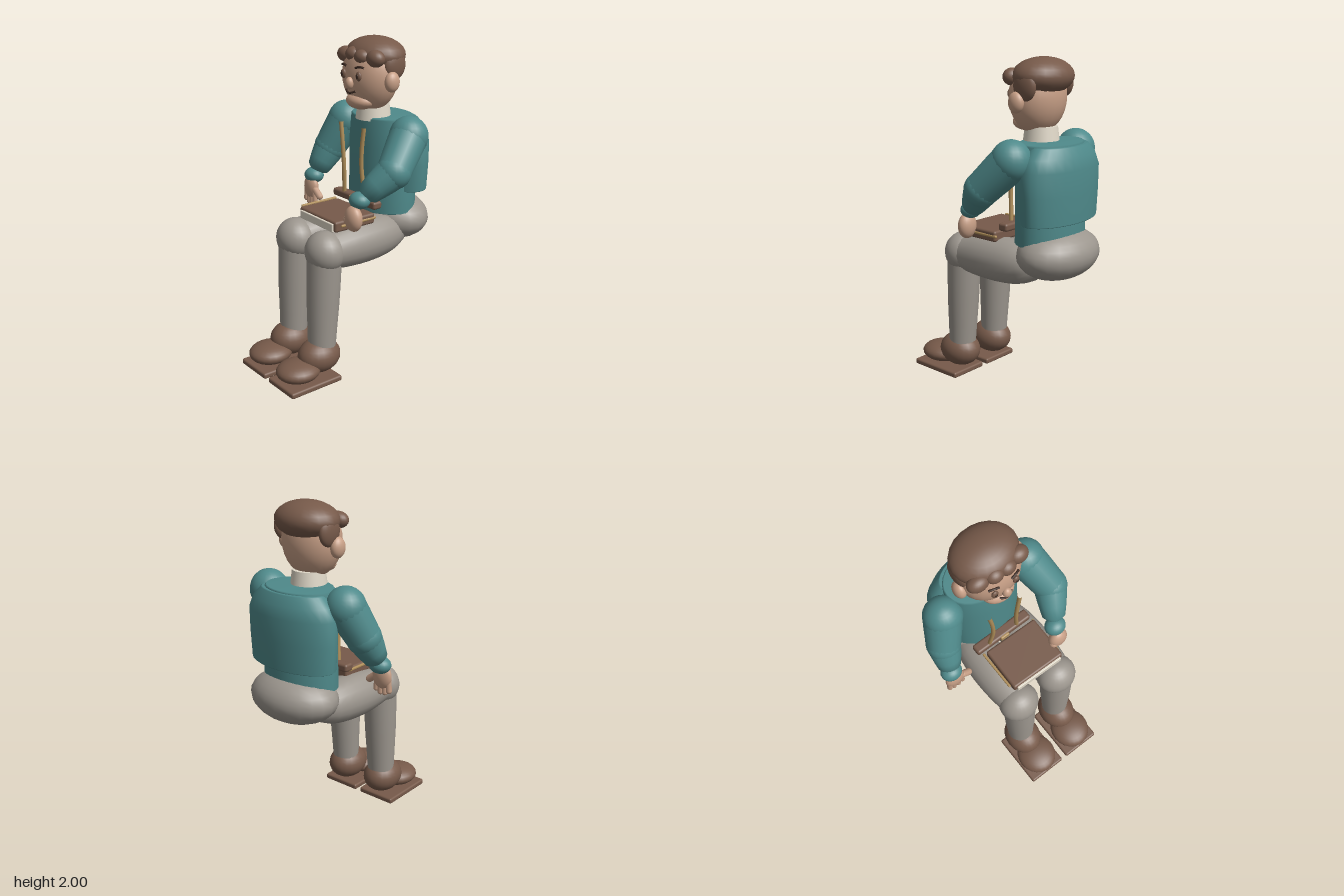
import * as THREE from 'three';
import { RoundedBoxGeometry } from 'three/addons/geometries/RoundedBoxGeometry.js';

const mat = (name, color) => {
  const m = new THREE.MeshStandardMaterial({ color });
  m.name = name;
  return m;
};
const V = (x, y, z) => new THREE.Vector3(x, y, z);

export function createModel() {
  const root = new THREE.Group();
  root.name = 'seatedMan';
  const body = new THREE.Group();
  body.name = 'body';
  body.position.x = 0.008;
  root.add(body);

  const teal = mat('teal jacket', 0x4f8a8b);
  const grey = mat('grey trousers', 0x9c968e);
  const brown = mat('brown leather and hair', 0x775a4a);
  const skin = mat('skin', 0xc79f86);
  const cream = mat('cream', 0xe0d8c8);
  const tan = mat('tan', 0xb08f5a);
  const dark = mat('dark brown', 0x3e2c24);

  const add = (name, geo, material, x = 0, y = 0, z = 0) => {
    const m = new THREE.Mesh(geo, material);
    m.name = name;
    m.position.set(x, y, z);
    body.add(m);
    return m;
  };
  const ball = (name, material, p, r) => {
    const m = add(name, new THREE.SphereGeometry(1, 22, 16), material, ...p);
    m.scale.set(...r);
    return m;
  };
  const box = (name, material, p, s, r = 0.008) =>
    add(name, new RoundedBoxGeometry(...s, 2, r), material, ...p);
  // Round limb from a to b; radii are spread evenly along its length
  const limb = (name, material, a, b, radii) => {
    const dir = b.clone().sub(a), len = dir.length();
    const pts = radii.map((r, i) => new THREE.Vector2(r, len * i / (radii.length - 1)));
    const m = add(name, new THREE.LatheGeometry(pts, 20), material, a.x, a.y, a.z);
    m.quaternion.setFromUnitVectors(V(0, 1, 0), dir.normalize());
    return m;
  };
  // Upright form with an elliptical plan from [radius, height] pairs
  const column = (name, material, profile, z, depth) => {
    const m = add(name, new THREE.LatheGeometry(profile.map(p => new THREE.Vector2(...p)), 28), material, 0, 0, z);
    m.scale.z = depth;
    return m;
  };
  const tube = (name, material, pts, r) =>
    add(name, new THREE.TubeGeometry(new THREE.CatmullRomCurve3(pts), 16, r, 8), material);

  // Torso and jacket back
  column('torso', teal, [[0, 0.945], [0.235, 0.945], [0.243, 0.95], [0.24, 1.1], [0.24, 1.35],
    [0.225, 1.52], [0.215, 1.53], [0, 1.53]], -0.315, 0.73);
  column('jacketBack', teal, [[0, 1.085], [0.288, 1.085], [0.295, 1.09], [0.305, 1.25], [0.307, 1.39],
    [0.275, 1.46], [0.22, 1.515], [0.21, 1.52], [0, 1.52]], -0.378, 0.51);
  add('collar', new THREE.CylinderGeometry(0.095, 0.108, 0.1, 24), cream, 0, 1.56, -0.24);

  // Hips, legs and shoes
  ball('hips', grey, [0, 0.885, -0.375], [0.29, 0.155, 0.21]);
  for (const s of [-1, 1]) {
    const x = s * 0.147;
    limb('thigh', grey, V(s * 0.135, 0.82, -0.39), V(x, 0.805, 0.25),
      [0, 0.085, 0.115, 0.13, 0.136, 0.138, 0.136, 0.13, 0.12, 0.11]);
    ball('knee', grey, [x, 0.805, 0.243], [0.127, 0.125, 0.117]);
    limb('shin', grey, V(x, 0.18, 0.272), V(x, 0.79, 0.247), [0.083, 0.09, 0.098, 0.102, 0.104]);
    ball('shoeHeel', brown, [x, 0.15, 0.293], [0.115, 0.105, 0.138]);
    ball('shoeToe', brown, [x, 0.095, 0.448], [0.127, 0.062, 0.137]);
    box('sole', brown, [x, 0.018, 0.398], [0.258, 0.036, 0.366], 0.012);
  }

  // Arms: shoulder, elbow, wrist
  const arms = [
    ['right', V(-0.293, 1.447, -0.265), V(-0.36, 1.27, -0.19), V(-0.398, 1.085, -0.085)],
    ['left', V(0.29, 1.447, -0.265), V(0.352, 1.275, -0.1), V(0.258, 1.115, 0.075)],
  ];
  for (const [side, a, b, c] of arms) {
    ball(side + 'Shoulder', teal, a.toArray(), [0.118, 0.12, 0.115]);
    limb(side + 'UpperArm', teal, a, b, [0.115, 0.112, 0.107, 0.102]);
    ball(side + 'Elbow', teal, b.toArray(), [0.103, 0.103, 0.103]);
    limb(side + 'Forearm', teal, b, c, [0.1, 0.094, 0.083, 0.07, 0]);
    ball(side + 'Cuff', teal, c.toArray(), [0.067, 0.05, 0.06]);
  }

  // Open right hand
  ball('rightPalm', skin, [-0.395, 1.01, -0.06], [0.064, 0.078, 0.034]);
  [[-0.44, 0.915], [-0.412, 0.9], [-0.382, 0.897], [-0.353, 0.912]].forEach(([x, y]) => {
    const f = add('rightFinger', new THREE.CapsuleGeometry(0.017, 0.07, 4, 10), skin, x, y + 0.045, -0.055);
    f.rotation.z = (x + 0.395) * 1.5;
  });
  const thumb = add('rightThumb', new THREE.CapsuleGeometry(0.022, 0.055, 4, 10), skin, -0.322, 0.985, -0.055);
  thumb.rotation.z = 0.9;
  // Left hand resting on the book
  ball('leftHand', skin, [0.252, 1.01, 0.115], [0.064, 0.078, 0.046]);
  ball('leftThumb', skin, [0.215, 0.995, 0.125], [0.03, 0.032, 0.03]);

  // Braces, belt and buckle
  for (const s of [-1, 1]) {
    tube('brace', tan, [V(s * 0.108, 1.49, -0.078), V(s * 0.09, 1.35, -0.077),
      V(s * 0.085, 1.22, -0.082), V(s * 0.102, 1.04, -0.1)], 0.013);
  }
  box('belt', brown, [0, 1.025, -0.116], [0.4, 0.048, 0.066], 0.015);
  box('buckle', tan, [0, 1.025, -0.083], [0.062, 0.04, 0.02]);

  // Book with page edge and trim rods
  const cover = box('bookCover', brown, [0.034, 0.963, 0.066], [0.365, 0.066, 0.29], 0.014);
  const pages = box('bookPages', cream, [0.034, 0.957, 0.085], [0.325, 0.05, 0.276], 0.005);
  cover.rotation.y = pages.rotation.y = -0.02;
  box('bookTrimLeft', tan, [0.213, 0.965, 0.045], [0.018, 0.018, 0.26]);
  box('bookTrimRight', tan, [-0.165, 0.99, 0.05], [0.016, 0.016, 0.265], 0.006);

  // Head
  ball('head', skin, [0, 1.775, -0.212], [0.187, 0.215, 0.153]);
  ball('chin', skin, [0, 1.628, -0.14], [0.1, 0.052, 0.078]);
  ball('nose', skin, [0, 1.74, -0.055], [0.027, 0.036, 0.026]);
  tube('mouth', dark, [V(-0.042, 1.697, -0.066), V(-0.02, 1.687, -0.054), V(0, 1.684, -0.05),
    V(0.02, 1.687, -0.054), V(0.042, 1.697, -0.066)], 0.006);
  for (const s of [-1, 1]) {
    ball('ear', skin, [s * 0.193, 1.755, -0.215], [0.037, 0.06, 0.05]);
    ball('eye', brown, [s * 0.07, 1.787, -0.066], [0.021, 0.028, 0.014]);
    ball('pupil', dark, [s * 0.07, 1.787, -0.055], [0.01, 0.014, 0.006]);
    tube('eyebrow', dark, [V(s * 0.04, 1.832, -0.066), V(s * 0.07, 1.841, -0.071), V(s * 0.1, 1.836, -0.082)], 0.007);
    ball('sideHair', brown, [s * 0.167, 1.845, -0.255], [0.035, 0.085, 0.078]);
  }

  // Hair cap and front curls
  ball('hairCap', brown, [0, 1.892, -0.25], [0.2, 0.108, 0.163]);
  const curls = [[-0.125, 1.888, 0.068, 0.048], [-0.035, 1.9, 0.055, 0.045], [0.045, 1.892, 0.055, 0.045],
    [0.135, 1.89, 0.062, 0.05]];
  for (const [x, y, rx, ry] of curls) {
    ball('curl', brown, [x, y, -0.115 - x * x * 1.2], [rx, ry, 0.05]);
  }
  return root;
}
